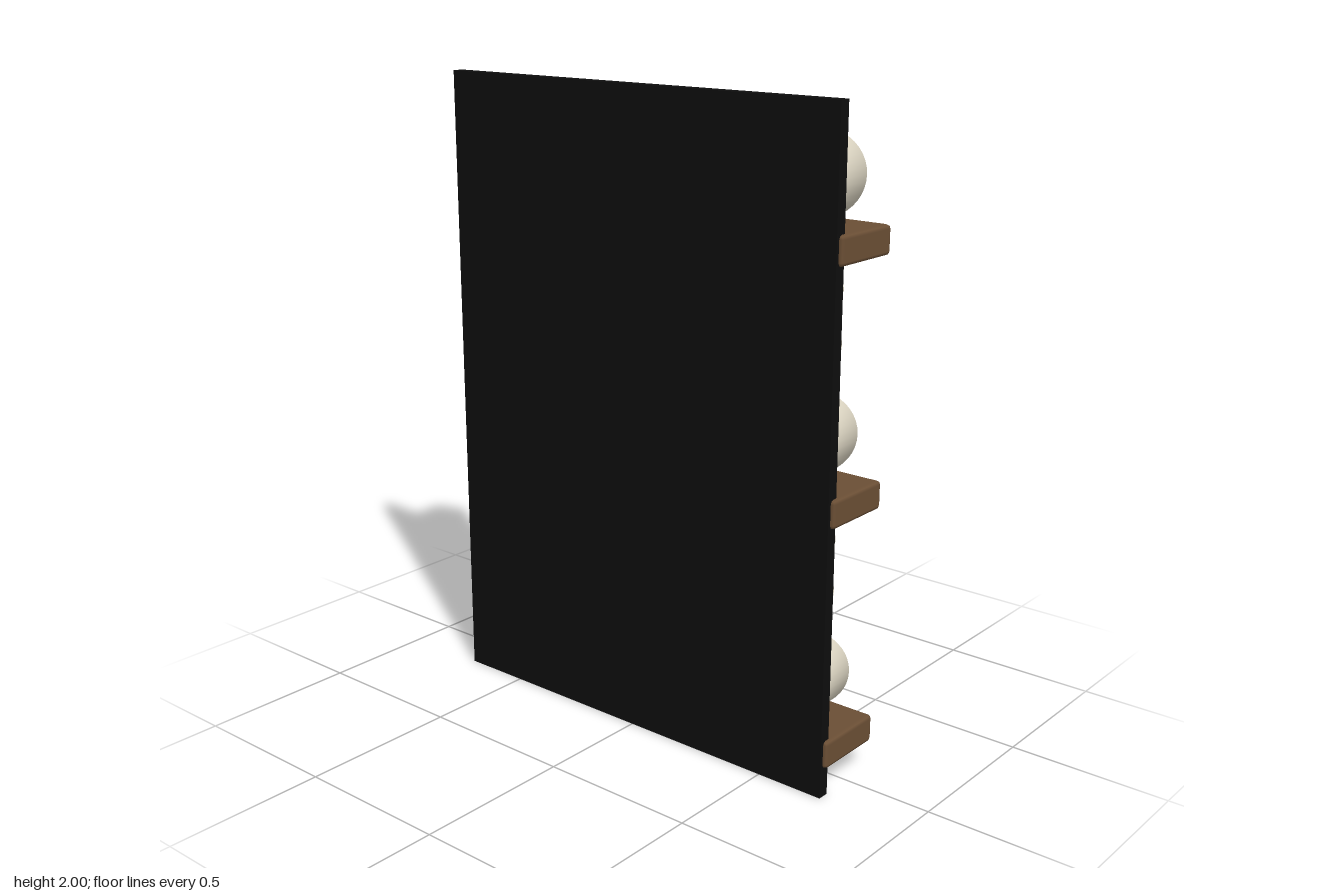
import * as THREE from 'three';
import { RoundedBoxGeometry } from 'three/addons/geometries/RoundedBoxGeometry.js';

const SKULL_R = 0.123;

// Thin eye patch that follows the six-sided skull surface
function eyeGeometry(zc) {
  const halfWidths = [0.011, 0.018, 0.018, 0.018, 0.018, 0.018, 0.011];
  const g = new THREE.PlaneGeometry(2, 0.07, 2, 6);
  g.rotateY(Math.PI / 2);
  const p = g.attributes.position;
  for (let i = 0; i < p.count; i++) {
    const y = p.getY(i) + 0.012;
    const z = zc + p.getZ(i) * halfWidths[Math.floor(i / 3)];
    const x = Math.sqrt(SKULL_R ** 2 - y * y) - Math.abs(z) / Math.sqrt(3);
    p.setXYZ(i, x + 0.004, y, z);
  }
  g.computeVertexNormals();
  return g;
}

export function createModel() {
  const model = new THREE.Group();
  const black = new THREE.MeshStandardMaterial({ name: 'black', color: 0x0e0e0e });
  const wood = new THREE.MeshStandardMaterial({ name: 'brown wood', color: 0x6b4f35 });
  const bone = new THREE.MeshStandardMaterial({ name: 'bone', color: 0xe0d9c6 });

  const add = (parent, name, geometry, material, x = 0, y = 0, z = 0) => {
    const mesh = new THREE.Mesh(geometry, material);
    mesh.name = name;
    mesh.position.set(x, y, z);
    parent.add(mesh);
    return mesh;
  };

  // Back board
  add(model, 'backBoard', new THREE.BoxGeometry(0.036, 2, 1.44), black, -0.121, 1, 0);

  const shelfGeo = new RoundedBoxGeometry(0.238, 0.086, 1.465, 1, 0.012);
  const skullGeo = new THREE.SphereGeometry(SKULL_R, 6, 20);
  const eyeGeos = [eyeGeometry(0.04), eyeGeometry(-0.04)];

  // Six-sided bone lying along z, with a ridge at top and bottom
  const boneGeo = new THREE.CapsuleGeometry(0.045, 1.215, 6, 6);
  boneGeo.rotateY(Math.PI / 2).rotateX(Math.PI / 2);

  for (let level = 0; level < 3; level++) {
    const y = level * 0.736;

    // Shelf with a row of skulls
    add(model, 'shelf', shelfGeo, wood, -0.01, 0.134 + y, 0);
    for (let i = -2; i <= 2; i++) {
      const skull = new THREE.Group();
      skull.name = 'skull';
      skull.position.set(0.015, 0.309 + y, i * 0.28);
      add(skull, 'cranium', skullGeo, bone);
      eyeGeos.forEach((g) => add(skull, 'eyeSocket', g, black));
      model.add(skull);
    }

    // Crossed bones between the shelves
    if (level < 2) {
      for (const s of [-1, 1]) {
        add(model, 'crossedBone', boneGeo, bone, 0, 0.656 + y, 0).rotation.x = s * 0.135;
      }
    }
  }
  return model;
}
